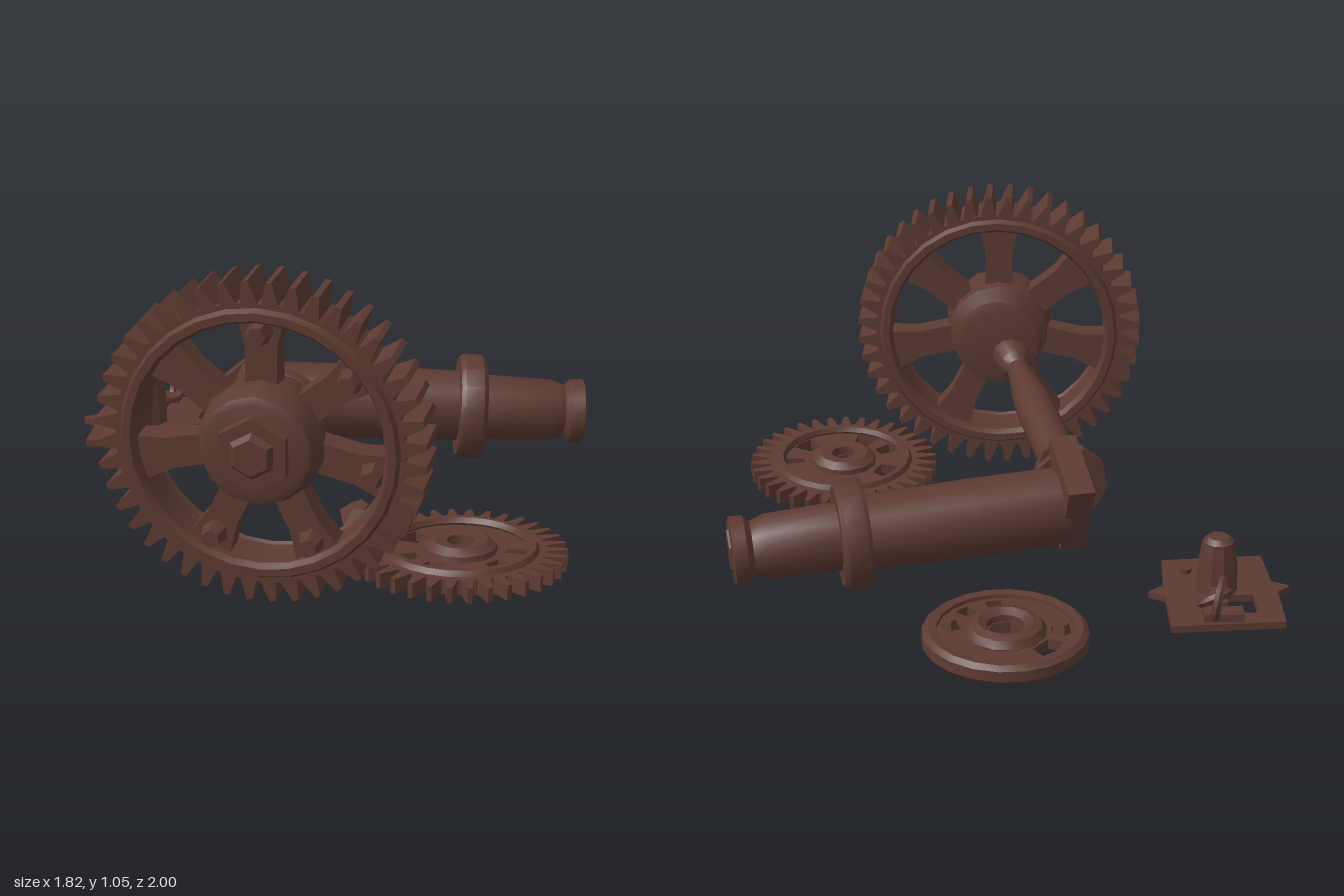
import * as THREE from 'three';
import { toCreasedNormals } from 'three/addons/utils/BufferGeometryUtils.js';

const TAU = Math.PI * 2;
const iron = new THREE.MeshStandardMaterial({ color: 0x5c3a32 });
iron.name = 'rusty iron brown';

function add(parent, name, geo, pos = [0, 0, 0], rot = [0, 0, 0]) {
  const mesh = new THREE.Mesh(toCreasedNormals(geo, 0.6), iron);
  mesh.name = name;
  mesh.position.set(...pos);
  mesh.rotation.set(...rot);
  parent.add(mesh);
  return mesh;
}

function group(parent, name, pos, rot) {
  const g = new THREE.Group();
  g.name = name;
  g.position.set(...pos);
  g.rotation.set(...rot);
  parent.add(g);
  return g;
}

const polar = (r, a) => new THREE.Vector2(r * Math.cos(a), r * Math.sin(a));
const ring = (r, n) => Array.from({ length: n }, (_, i) => polar(r, (i / n) * TAU));

// Trapezoid opening between two radii
function sector(r0, r1, degrees, half) {
  const a = THREE.MathUtils.degToRad(degrees);
  return [polar(r0, a - half), polar(r1, a - half), polar(r1 * 1.02, a), polar(r1, a + half), polar(r0, a + half)];
}

// Gear outline with pointed, slightly leaning teeth
function teeth(root, tip, n, lean) {
  const pts = [];
  for (let i = 0; i < n; i++) {
    const at = (f) => ((i + f) / n) * TAU;
    pts.push(polar(root, at(0)), polar(tip, at(0.3 + lean)), polar(tip * 0.99, at(0.55 + lean)), polar(root, at(0.8)));
  }
  return pts;
}

// Flat outline with holes, extruded and centred on z
function slab(outline, holes, depth) {
  const shape = new THREE.Shape(outline);
  shape.holes = holes.map((h) => new THREE.Path(h));
  return new THREE.ExtrudeGeometry(shape, { depth, bevelEnabled: false }).translate(0, 0, -depth / 2);
}

// Turned profile of [distance, radius], with its axis along z
function turned(profile, sides = 16) {
  const pts = profile.map(([d, r]) => new THREE.Vector2(r, d));
  return new THREE.LatheGeometry(pts, sides).rotateX(Math.PI / 2);
}

// Turned part that starts at one point and aims at another
function shaft(parent, name, profile, from, to, sides) {
  const mesh = add(parent, name, turned(profile, sides), from);
  const dir = new THREE.Vector3(...to).sub(mesh.position).normalize();
  mesh.quaternion.setFromUnitVectors(new THREE.Vector3(0, 0, 1), dir);
  return mesh;
}

const hex = (r, h, r2 = r) => new THREE.CylinderGeometry(r2, r, h, 6).rotateX(Math.PI / 2);

function buildLargeGear(root) {
  const g = group(root, 'largeGear', [-0.25, 0.53, 0.755], [0, -0.27, 0]);
  add(g, 'toothedRim', slab(teeth(0.455, 0.525, 44, 0.1), [ring(0.4, 28)], 0.17));
  // Rounded lips on both sides of the rim
  for (const s of [-1, 1]) add(g, 'rimLip', new THREE.TorusGeometry(0.418, 0.025, 6, 28), [0, 0, s * 0.082]);
  for (let i = 0; i < 7; i++) {
    const a = Math.PI / 2 + (i / 7) * TAU;
    const spoke = group(g, 'spokeGroup', [0, 0, 0], [0, 0, a]);
    const w = [[0.13, -0.05], [0.3, -0.05], [0.41, -0.075], [0.41, 0.075], [0.3, 0.05], [0.13, 0.05]];
    add(spoke, 'spoke', slab(w.map((p) => new THREE.Vector2(...p)), [], 0.09));
    if (i !== 1 && i !== 2) add(spoke, 'rimBolt', hex(0.045, 0.07, 0.03), [0.355, 0, 0.07]);
  }
  // Hub with front flange and back collar
  add(g, 'hub', turned([
    [-0.2, 0.001], [-0.2, 0.12], [-0.19, 0.155], [-0.16, 0.15], [-0.14, 0.1], [-0.11, 0.11],
    [-0.08, 0.18], [0.05, 0.2], [0.09, 0.19], [0.13, 0.175], [0.14, 0.15], [0.14, 0.001]], 14));
  add(g, 'hubNut', hex(0.125, 0.05, 0.12), [0, 0, 0.145]);
  add(g, 'hubCap', hex(0.085, 0.03, 0.06), [0, 0, 0.175]);
}

function buildBarrel(root) {
  shaft(root, 'axle', [
    [0, 0.001], [0, 0.068], [0.2, 0.07], [0.45, 0.068], [0.58, 0.05], [0.67, 0.04], [0.7, 0.06], [0.78, 0.07], [0.78, 0.001],
  ], [-0.24, 0.36, -0.2], [-0.25, 0.485, 0.58], 12);
  const from = [-0.22, 0.262, -0.27], to = [0.9, 0.202, -0.235];
  shaft(root, 'barrel', [
    [0, 0.001], [0, 0.13], [0.3, 0.132], [0.67, 0.124], [0.67, 0.178], [0.685, 0.187], [0.75, 0.185], [0.765, 0.17],
    [0.765, 0.115], [1, 0.108], [1.05, 0.09], [1.07, 0.112], [1.115, 0.115], [1.122, 0.1], [1.11, 0.001],
  ], from, to, 16);
  shaft(root, 'muzzleNut', [[0, 0.001], [0, 0.085], [0.02, 0.075], [0.02, 0.001]], [0.885, 0.203, -0.235], [2, 0.143, -0.2], 6);
  // Square end plate and the round collar where the axle joins
  add(root, 'endPlate', new THREE.BoxGeometry(0.09, 0.27, 0.27), [-0.24, 0.305, -0.265], [-0.38, 0, 0]);
  add(root, 'axleCollar', new THREE.CylinderGeometry(0.13, 0.13, 0.05, 9), [-0.265, 0.31, -0.19], [Math.PI / 2, 0, 0.05]);
  add(root, 'collarBoss', new THREE.CylinderGeometry(0.08, 0.1, 0.07, 8), [-0.25, 0.355, -0.145], [Math.PI / 2, 0, 0]);
}

function buildSmallGear(root) {
  const g = group(root, 'smallGear', [0.37, 0.065, 0.65], [-Math.PI / 2 - 0.06, 0, 0]);
  add(g, 'toothedRim', slab(teeth(0.275, 0.345, 34, 0), [ring(0.22, 24)], 0.05));
  const windows = [[141, 0.24], [197, 0.16], [233, 0.2], [308, 0.2], [350, 0.1]].map(([a, w]) => sector(0.145, 0.212, a, w));
  add(g, 'web', slab(ring(0.23, 24), [...windows, ring(0.042, 6)], 0.035));
  add(g, 'rimLip', new THREE.TorusGeometry(0.235, 0.02, 6, 24), [0, 0, 0.025]);
  add(g, 'hub', turned([[-0.03, 0.042], [-0.03, 0.1], [0, 0.125], [0.035, 0.118], [0.055, 0.09], [0.05, 0.045], [-0.03, 0.042]], 12));
}

function buildDisc(root) {
  const g = group(root, 'spareDisc', [0.09, 0.052, -0.73], [-Math.PI / 2, 0, 0]);
  add(g, 'rim', turned([[-0.033, 0.215], [-0.033, 0.25], [-0.015, 0.27], [0.02, 0.268], [0.034, 0.25], [0.03, 0.222], [-0.033, 0.215]], 20));
  const windows = [[128, 0.28], [168, 0.12], [268, 0.14], [302, 0.13], [340, 0.1]].map(([a, w]) => sector(0.145, 0.2, a, w));
  add(g, 'web', slab(ring(0.225, 20), [...windows, ring(0.06, 6)], 0.035));
  add(g, 'hub', turned([[-0.025, 0.06], [-0.025, 0.11], [0.02, 0.135], [0.045, 0.12], [0.055, 0.09], [0.04, 0.062], [-0.025, 0.06]], 12));
  for (const a of [165, 340]) {
    const p = polar(0.18, THREE.MathUtils.degToRad(a));
    add(g, 'bolt', hex(0.032, 0.04, 0.022), [p.x, p.y, 0.03]);
  }
}

function buildBracket(root) {
  const g = group(root, 'bracket', [0, 0.045, 0], [-Math.PI / 2, 0, 0]);
  const v = (list) => list.map((p) => new THREE.Vector2(...p));
  // Torn plate with side spikes and a square opening
  const outline = v([[-0.89, 0.4], [-0.55, 0.355], [-0.5, 0.53], [-0.44, 0.56], [-0.485, 0.6], [-0.44, 0.805],
    [-0.81, 0.86], [-0.855, 0.66], [-0.91, 0.63], [-0.86, 0.585]]);
  add(g, 'plate', slab(outline, [v([[-0.77, 0.66], [-0.67, 0.645], [-0.65, 0.76], [-0.745, 0.78]])], 0.025));
  add(g, 'post', turned([[0, 0.068], [0.1, 0.066], [0.19, 0.052], [0.205, 0.035], [0.205, 0.001]], 10), [-0.665, 0.59, 0]);
  add(g, 'link', new THREE.BoxGeometry(0.05, 0.16, 0.04), [-0.635, 0.68, 0.03], [0, 0, -0.2]);
  add(g, 'rivet', hex(0.022, 0.02), [-0.6, 0.455, 0.02]);
  // Standing loop and its ring
  add(g, 'loop', new THREE.TorusGeometry(0.065, 0.015, 5, 12), [-0.61, 0.77, 0.075], [1.25, 1.1, 0]);
  add(g, 'loopRing', new THREE.TorusGeometry(0.05, 0.015, 5, 10), [-0.6, 0.75, 0.07], [0.5, 0.3, 0]);
  add(g, 'loopFoot', new THREE.BoxGeometry(0.13, 0.06, 0.03), [-0.62, 0.79, 0.025], [0, 0, -0.2]);
}

export function createModel() {
  const root = new THREE.Group();
  root.name = 'brokenMachinery';
  buildLargeGear(root);
  buildBarrel(root);
  buildSmallGear(root);
  buildDisc(root);
  buildBracket(root);
  // Loose five-sided fragment
  add(root, 'fragment', new THREE.CylinderGeometry(0.03, 0.075, 0.05, 5), [0.07, 0.05, 0.26], [0.25, 0.4, 0]);
  return root;
}
